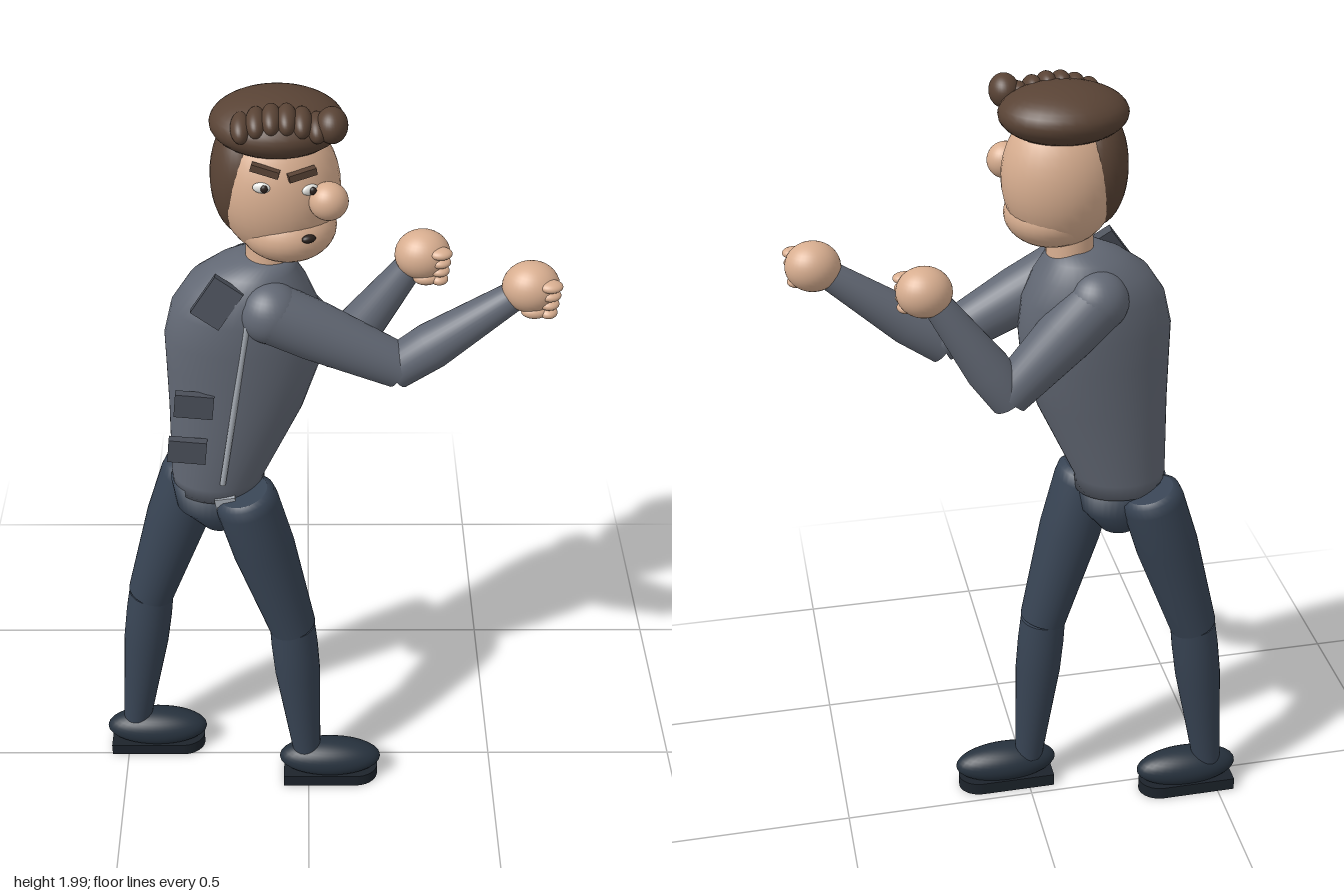
import * as THREE from 'three';

const mat = (color) => new THREE.MeshStandardMaterial({ color, roughness: 0.8 });
const M = {
  jacket: mat(0x626874), patch: mat(0x4b505a), trousers: mat(0x384454), shoe: mat(0x27323e),
  sole: mat(0x1c232b), skin: mat(0xd8ae90), hair: mat(0x594335), metal: mat(0xa4aab2),
  white: mat(0xe8e8e4), dark: mat(0x2a211d),
};
const V = (p) => new THREE.Vector3(...p);

function add(parent, name, geometry, material, pos = [0, 0, 0], rot = [0, 0, 0]) {
  const m = new THREE.Mesh(geometry, material);
  m.name = name;
  m.position.set(...pos);
  m.rotation.set(...rot);
  parent.add(m);
  return m;
}

function ball(parent, name, material, pos, radii, rot) {
  const m = add(parent, name, new THREE.SphereGeometry(1, 32, 20), material, pos, rot);
  m.scale.set(...radii);
  return m;
}

// Round limb from a to b; profile holds [fraction, radius] pairs, ends are flat
function limb(parent, name, material, a, b, profile) {
  const A = V(a), dir = V(b).sub(A), len = dir.length();
  const side = profile.map(([t, r]) => new THREE.Vector2(r, t * len));
  const m = add(parent, name, new THREE.LatheGeometry(side, 32), material, a);
  m.quaternion.setFromUnitVectors(new THREE.Vector3(0, 1, 0), dir.normalize());
  [0, profile.length - 1].forEach((i) => {
    const cap = add(m, name + 'End', new THREE.CircleGeometry(profile[i][1], 32), material,
      [0, profile[i][0] * len, 0], [i ? -Math.PI / 2 : Math.PI / 2, 0, 0]);
    cap.castShadow = false;
  });
  return m;
}

// Skin over stacked ellipses [y, centreX, radiusX, radiusZ]
function loft(rings, n = 40) {
  const pos = [], idx = [];
  rings.forEach(([y, cx, rx, rz]) => {
    for (let j = 0; j < n; j++) {
      const a = (j / n) * Math.PI * 2;
      pos.push(cx + rx * Math.cos(a), y, rz * Math.sin(a));
    }
  });
  for (let i = 0; i < rings.length - 1; i++) {
    for (let j = 0; j < n; j++) {
      const k = (j + 1) % n, a = i * n + j, b = i * n + k;
      idx.push(a, a + n, b, b, a + n, b + n);
    }
  }
  const g = new THREE.BufferGeometry();
  g.setAttribute('position', new THREE.Float32BufferAttribute(pos, 3));
  g.setIndex(idx);
  g.computeVertexNormals();
  return g;
}

function buildTorso(g) {
  add(g, 'torso', loft([
    [0.96, -0.22, 0, 0], [0.96, -0.22, 0.11, 0.088], [1.0, -0.22, 0.113, 0.092],
    [1.2, -0.172, 0.158, 0.107], [1.32, -0.153, 0.178, 0.117], [1.4, -0.15, 0.182, 0.122],
    [1.48, -0.145, 0.168, 0.125], [1.54, -0.138, 0.135, 0.115], [1.58, -0.122, 0.095, 0.085],
    [1.605, -0.1, 0.062, 0.06], [1.605, -0.1, 0, 0],
  ]), M.jacket);
  add(g, 'pelvis', loft([
    [0.84, -0.22, 0, 0], [0.84, -0.22, 0.045, 0.045], [0.9, -0.225, 0.1, 0.08],
    [0.98, -0.225, 0.112, 0.085], [0.98, -0.225, 0, 0],
  ]), M.trousers);
  add(g, 'buckle', new THREE.BoxGeometry(0.05, 0.03, 0.015), M.metal, [-0.2, 0.965, 0.088], [0, 0, 0.15]);
  // zip follows the slant of the jacket front
  limb(g, 'zip', M.metal, [-0.205, 1.03, 0.1], [-0.137, 1.49, 0.122], [[0, 0.007], [1, 0.007]]);
  add(g, 'upperPocket', new THREE.BoxGeometry(0.09, 0.062, 0.02), M.patch, [-0.264, 1.265, 0.105], [0, 0, -0.1]);
  add(g, 'lowerPocket', new THREE.BoxGeometry(0.09, 0.062, 0.02), M.patch, [-0.285, 1.135, 0.105], [0, 0, -0.1]);
  add(g, 'collarFlap', new THREE.BoxGeometry(0.075, 0.1, 0.025), M.patch, [-0.203, 1.54, 0.1], [-0.2, 0, -0.6]);
}

function buildLeg(g, side, hip, knee, ankle, footX, footZ) {
  const leg = new THREE.Group();
  leg.name = side + 'Leg';
  g.add(leg);
  limb(leg, 'thigh', M.trousers, hip, knee,
    [[0, 0.06], [0.02, 0.074], [0.08, 0.078], [0.4, 0.078], [1, 0.06]]);
  limb(leg, 'shin', M.trousers, knee, ankle,
    [[0, 0.058], [0.15, 0.06], [0.35, 0.059], [0.7, 0.047], [1, 0.037]]);
  ball(leg, 'shoe', M.shoe, [footX, 0.067, footZ], [0.137, 0.052, 0.056]);
  const sole = new THREE.Shape();
  sole.absellipse(0.07, 0, 0.06, 0.05, -Math.PI / 2, Math.PI / 2);
  sole.lineTo(-0.125, 0.05);
  sole.lineTo(-0.125, -0.05);
  add(leg, 'sole', new THREE.ExtrudeGeometry(sole, { depth: 0.035, bevelEnabled: false, curveSegments: 16 }),
    M.sole, [footX, 0, footZ], [-Math.PI / 2, 0, 0]);
}

function buildArm(g, side, shoulder, elbow, wrist, hand) {
  const arm = new THREE.Group();
  arm.name = side + 'Arm';
  g.add(arm);
  ball(arm, 'shoulder', M.jacket, shoulder, [0.072, 0.072, 0.07]);
  limb(arm, 'upperArm', M.jacket, shoulder, elbow, [[0, 0.07], [0.35, 0.068], [1, 0.052]]);
  limb(arm, 'forearm', M.jacket, elbow, wrist, [[-0.04, 0.05], [0.3, 0.054], [1, 0.034]]);
  ball(arm, 'fist', M.skin, hand, [0.064, 0.058, 0.058]);
  // curled fingers stacked on the front of the fist
  for (let i = 0; i < 4; i++) {
    ball(arm, 'finger', M.skin, [hand[0] + 0.038, hand[1] + 0.022 - i * 0.023, hand[2] + 0.036 - i * 0.002],
      [0.027 - i * 0.002, 0.013, 0.022]);
  }
  ball(arm, 'thumb', M.skin, [hand[0] + 0.008, hand[1] - 0.045, hand[2] + 0.03], [0.03, 0.016, 0.02]);
}

function buildHead(g) {
  const head = new THREE.Group();
  head.name = 'head';
  g.add(head);
  const c = [-0.065, 1.775, -0.005], r = [0.135, 0.165, 0.118];
  // depth of the face surface at a given height and width
  const faceZ = (x, y) => c[2] + r[2] * Math.sqrt(Math.max(0, 1 - ((x - c[0]) / r[0]) ** 2 - ((y - c[1]) / r[1]) ** 2));
  add(head, 'neck', new THREE.CylinderGeometry(0.052, 0.056, 0.14, 32), M.skin, [-0.087, 1.62, -0.005]);
  ball(head, 'skull', M.skin, c, r);
  ball(head, 'jaw', M.skin, [-0.046, 1.685, 0.008], [0.108, 0.075, 0.108]);
  ball(head, 'nose', M.skin, [0.042, 1.785, 0.088], [0.043, 0.042, 0.04]);
  [[-0.1, 1.825], [0.003, 1.815]].forEach(([x, y], i) => {
    const z = faceZ(x, y), yaw = i ? 0.5 : -0.15;
    ball(head, 'eye', M.white, [x, y, z], [0.019, 0.012, 0.008], [0, yaw, 0]);
    ball(head, 'pupil', M.dark, [x + 0.006, y, z + 0.006], [0.008, 0.009, 0.006]);
  });
  [[-0.092, 1.862, -0.25], [-0.014, 1.852, 0.15]].forEach(([x, y, tilt], i) => {
    add(head, 'eyebrow', new THREE.BoxGeometry(0.062, 0.016, 0.016), M.hair,
      [x, y, faceZ(x, y) + 0.004], [0, i ? 0.35 : -0.15, tilt]);
  });
  ball(head, 'mouth', M.dark, [0.0, 1.703, 0.105], [0.016, 0.009, 0.01], [0, 0.4, 0]);

  // hair: flat crown, back of the head, and a row of curls
  ball(head, 'hairCrown', M.hair, [-0.068, 1.922, -0.014], [0.145, 0.064, 0.126]);
  ball(head, 'backHair', M.hair, [-0.14, 1.795, -0.012], [0.075, 0.14, 0.09]);
  for (let i = 0; i < 6; i++) {
    const x = -0.142 + i * 0.032;
    ball(head, 'curl', M.hair, [x, 1.945 + 0.02 * Math.sin(i * 0.62), 0.066], [0.022, 0.026, 0.043], [0.25, 0, 0.1]);
  }
  ball(head, 'largeCurl', M.hair, [0.048, 1.952, 0.068], [0.034, 0.038, 0.042]);
}

export function createModel() {
  const g = new THREE.Group();
  g.name = 'figure';
  buildTorso(g);
  buildLeg(g, 'left', [-0.158, 0.98, 0.065], [-0.042, 0.54, 0.058], [-0.005, 0.09, 0.065], 0.058, 0.072);
  buildLeg(g, 'right', [-0.28, 0.97, -0.065], [-0.412, 0.55, -0.06], [-0.475, 0.09, -0.05], -0.42, -0.044);
  buildArm(g, 'left', [-0.085, 1.505, 0.086], [0.205, 1.355, 0.076], [0.45, 1.54, 0.079], [0.49, 1.568, 0.08]);
  buildArm(g, 'right', [-0.135, 1.5, -0.088], [0.075, 1.285, -0.095], [0.23, 1.52, -0.085], [0.26, 1.555, -0.082]);
  buildHead(g);
  return g;
}
